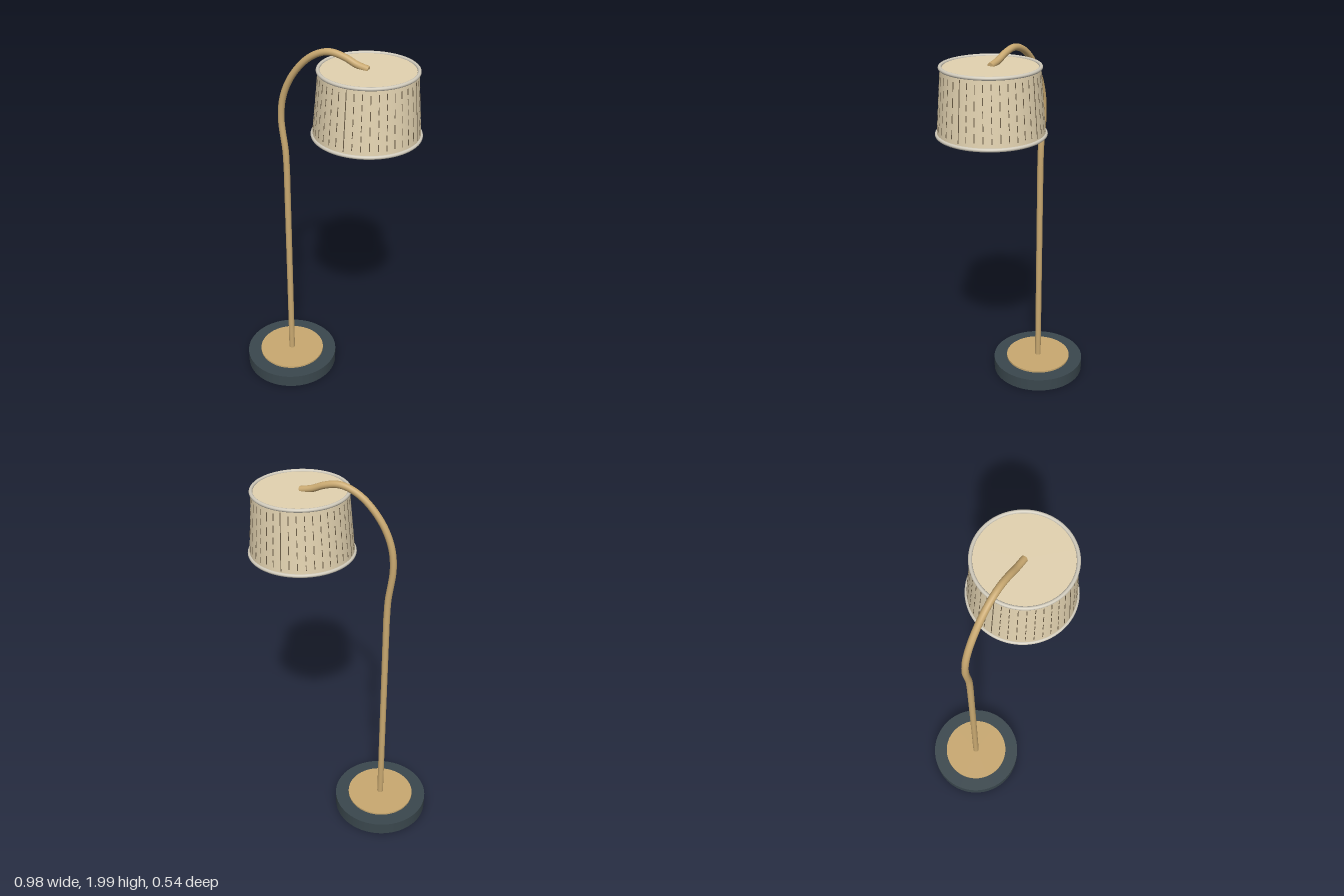
import * as THREE from 'three';

const POLE_X = -0.23, SHADE_X = 0.22;
const SHADE_BOTTOM = 1.6, SHADE_TOP = 1.92, R_BOTTOM = 0.262, R_TOP = 0.235;

const material = (color) => new THREE.MeshStandardMaterial({ color });

export function createModel() {
  const lamp = new THREE.Group();
  lamp.name = 'floorLamp';
  const wood = material(0xc8a870);
  const slate = material(0x3a474d);
  const linen = material(0xe2d2b0);
  const trim = material(0xd0cabb);
  const stitch = material(0x6b5d47);

  const add = (name, geometry, mat, x = 0, y = 0, parent = lamp) => {
    const mesh = new THREE.Mesh(geometry, mat);
    mesh.name = name;
    mesh.position.set(x, y, 0);
    parent.add(mesh);
    return mesh;
  };

  // Weighted base with an inlaid wooden disc
  add('base', new THREE.CylinderGeometry(0.263, 0.263, 0.072, 64), slate, POLE_X, 0.036);
  add('baseDisc', new THREE.CylinderGeometry(0.187, 0.187, 0.012, 64), wood, POLE_X, 0.076);

  // Straight pole
  add('pole', new THREE.CylinderGeometry(0.017, 0.017, 1.22, 20), wood, POLE_X, 0.69);

  // Curved neck reaching over to the shade
  const neckPath = new THREE.CatmullRomCurve3([
    [-0.23, 1.28], [-0.234, 1.4], [-0.254, 1.58], [-0.24, 1.7], [-0.19, 1.815],
    [-0.105, 1.916], [-0.03, 1.962], [0.03, 1.974], [0.1, 1.96], [0.16, 1.935], [0.22, 1.921],
  ].map(([x, y]) => new THREE.Vector3(x, y, 0)));
  add('neck', new THREE.TubeGeometry(neckPath, 80, 0.017, 16), wood);
  const neckEnd = add('neckEnd', new THREE.CircleGeometry(0.017, 16), wood, 0.22, 1.921);
  neckEnd.rotation.y = Math.PI / 2;

  // Tapered shade, closed at both ends
  const shade = new THREE.Group();
  shade.name = 'shade';
  shade.position.x = SHADE_X;
  lamp.add(shade);
  const height = SHADE_TOP - SHADE_BOTTOM;
  const middle = (SHADE_TOP + SHADE_BOTTOM) / 2;
  add('shadeBody', new THREE.CylinderGeometry(R_TOP, R_BOTTOM, height, 80), linen, 0, middle, shade);

  // Rolled rims
  for (const [name, radius, y] of [['topRim', R_TOP, SHADE_TOP], ['bottomRim', R_BOTTOM, SHADE_BOTTOM]]) {
    add(name, new THREE.TorusGeometry(radius, 0.009, 12, 80), trim, 0, y, shade).rotation.x = Math.PI / 2;
  }

  // Broken vertical stitch lines around the shade
  const slope = Math.atan((R_BOTTOM - R_TOP) / height);
  const count = 40;
  for (let i = 0; i < count; i++) {
    const line = new THREE.Group();
    line.name = 'stitchLine';
    line.rotation.y = (i / count) * Math.PI * 2;
    shade.add(line);
    const dashes = i % 10 === 0 ? 1 : 4 + (i % 3);
    const pitch = (height - 0.03) / dashes;
    const length = dashes === 1 ? pitch : pitch * 0.6;
    for (let d = 0; d < dashes; d++) {
      const y = SHADE_BOTTOM + 0.015 + pitch * (d + 0.5);
      const r = R_BOTTOM + (R_TOP - R_BOTTOM) * (y - SHADE_BOTTOM) / height;
      const dash = add('stitch', new THREE.BoxGeometry(0.004, length, 0.004), stitch, 0, y, line);
      dash.position.z = r - 0.001;
      dash.rotation.x = -slope;
    }
  }
  return lamp;
}
